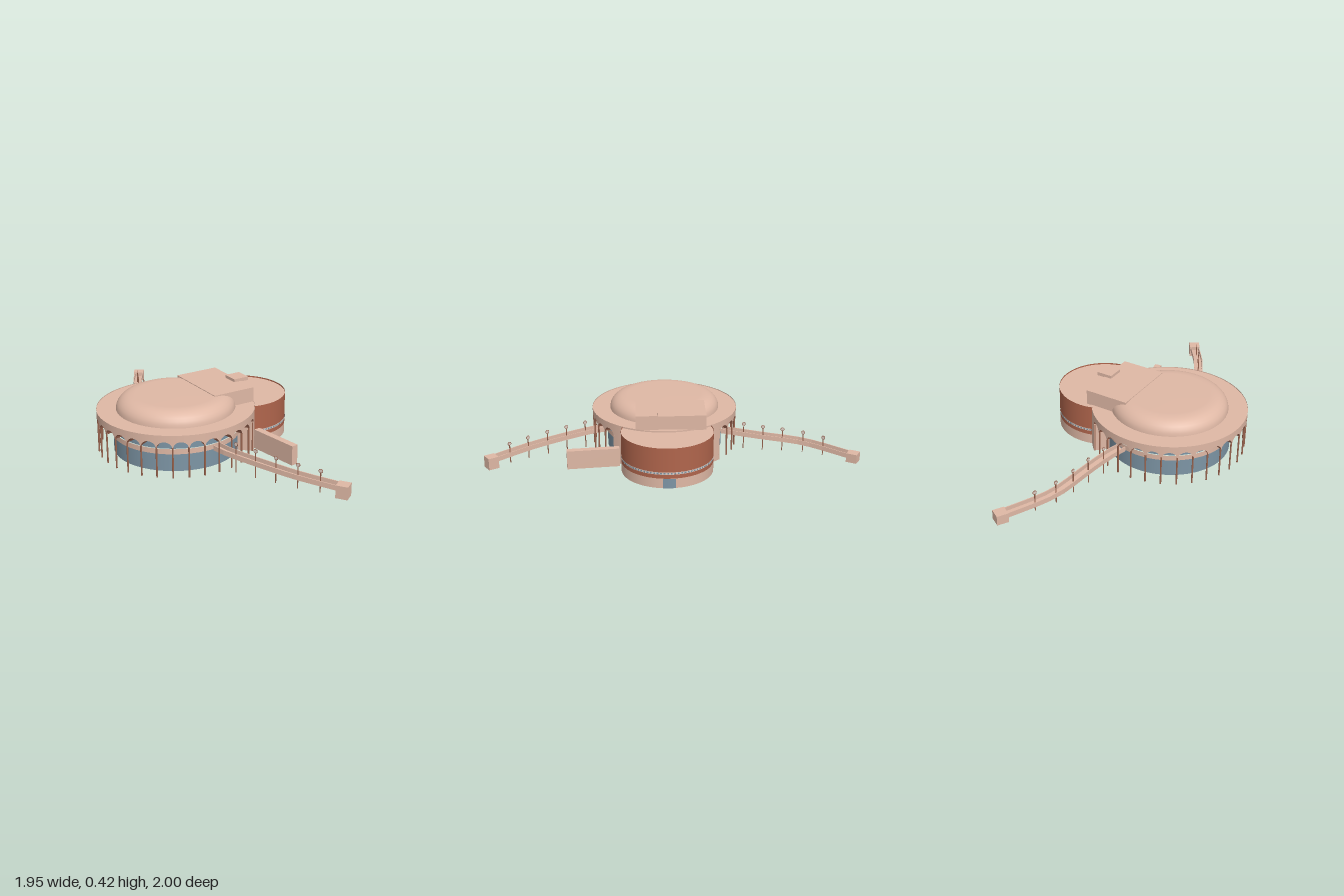
import * as THREE from 'three';

const D = Math.PI / 180;
const mat = (name, color) => {
  const m = new THREE.MeshStandardMaterial({ color, side: THREE.DoubleSide });
  m.name = name;
  return m;
};

export function createModel() {
  const root = new THREE.Group();
  root.name = 'roundAuditorium';
  const plaster = mat('plaster', 0xdfb8a5);
  const brick = mat('brick', 0xb0654c);
  const glass = mat('glass', 0x7d95a5);
  const soffit = mat('soffit', 0xa86c56);
  const post = mat('post', 0x9c6650);
  const pale = mat('paleTrim', 0xdccac1);

  const add = (parent, name, geo, material, x = 0, y = 0, z = 0, ry = 0) => {
    const m = new THREE.Mesh(geo, material);
    m.name = name;
    m.position.set(x, y, z);
    m.rotation.y = ry;
    parent.add(m);
    return m;
  };
  // Curved wall from angle a0 to a1 (degrees, 0 = +x, 90 = +z)
  const wall = (parent, name, r, y0, y1, a0, a1, material, seg = 64) =>
    add(parent, name, new THREE.CylinderGeometry(r, r, y1 - y0, seg, 1, true, (90 - a1) * D, (a1 - a0) * D),
      material, 0, (y0 + y1) / 2, 0);
  const group = (name, x, z) => {
    const g = new THREE.Group();
    g.name = name;
    g.position.set(x, 0, z);
    root.add(g);
    return g;
  };
  // Surface through rows of points
  const loft = (rows) => {
    const pos = [], idx = [], n = rows[0].length;
    rows.forEach((r) => r.forEach((p) => pos.push(...p)));
    for (let i = 0; i < rows.length - 1; i++)
      for (let j = 0; j < n - 1; j++) {
        const a = i * n + j;
        idx.push(a, a + 1, a + n, a + 1, a + n + 1, a + n);
      }
    let g = new THREE.BufferGeometry();
    g.setAttribute('position', new THREE.Float32BufferAttribute(pos, 3));
    g.setIndex(idx);
    g = g.toNonIndexed();
    g.computeVertexNormals();
    return g;
  };

  // Main hall
  const R = 0.55, RG = 0.438;
  const hall = group('mainHall', -0.29, 0.355);
  wall(hall, 'lowerGlass', RG, 0, 0.125, -7, 277, glass);
  wall(hall, 'upperGlass', RG, 0.162, 0.294, -7, 277, glass);
  wall(hall, 'balconyBand', RG + 0.008, 0.125, 0.162, -7, 277, plaster);
  add(hall, 'roofRing', new THREE.RingGeometry(0.41, R, 96).rotateX(-Math.PI / 2), plaster, 0, 0.295, 0);
  const profile = [];
  for (let i = 0; i <= 7; i++) {
    const t = (i / 7) * Math.PI / 2;
    profile.push(new THREE.Vector2(0.3 + 0.115 * Math.cos(t), 0.295 + 0.098 * Math.sin(t)));
  }
  profile.push(new THREE.Vector2(0.28, 0.395), new THREE.Vector2(0, 0.396));
  add(hall, 'dome', new THREE.LatheGeometry(profile, 48), plaster);

  // Arcade: scalloped fascia with scoops sloping down to the glass
  const ARCHES = 24, STEP = 270 / ARCHES, SUB = 10;
  const fascia = [], scoop = [];
  for (let i = 0; i <= ARCHES * SUB; i++) {
    const a = (i / SUB) * STEP * D, c = Math.cos(a), s = Math.sin(a);
    const u = Math.min(1, Math.abs(((i % SUB) / SUB - 0.5) * 2.15));
    const y = 0.213 + 0.042 * Math.sqrt(1 - u * u);
    fascia.push([[R * c, 0.301, R * s], [R * c, y, R * s]]);
    scoop.push([[R * c, y, R * s], [RG * c, 0.214, RG * s]]);
  }
  add(hall, 'arcadeFascia', loft(fascia), plaster);
  add(hall, 'arcadeScoops', loft(scoop), soffit);
  const column = new THREE.CylinderGeometry(0.006, 0.006, 0.214, 8);
  for (let i = 0; i <= ARCHES; i++) {
    const a = i * STEP * D;
    add(hall, 'column', column, post, 0.543 * Math.cos(a), 0.107, 0.543 * Math.sin(a));
  }
  // Solid wall closing the circle behind the arcade, with returns to the glass
  wall(hall, 'rearWall', R, 0, 0.301, 270, 360, plaster, 32);
  [0, 270].forEach((deg) => {
    const a = deg * D, r = (R + RG) / 2;
    add(hall, 'endReturn', new THREE.BoxGeometry(R - RG, 0.29, 0.008), plaster,
      r * Math.cos(a), 0.145, r * Math.sin(a), -a);
  });

  // Rear drum
  const RD = 0.334, A = -44.6, rear = group('rearDrum', 0.09, -0.02);
  wall(rear, 'drumBase', RD, 0, 0.073, A - 106, A + 106, plaster);
  wall(rear, 'drumBrick', RD, 0.073, 0.3, A - 106, A + 106, brick);
  wall(rear, 'drumStripe', RD + 0.0015, 0.103, 0.121, A - 105, A + 105, pale);
  for (let i = 0; i < 50; i++) {
    const a = A - 104.5 + i * 4.2;
    wall(rear, 'stripeTile', RD + 0.003, 0.106, 0.118, a, a + 2.1, glass, 1);
  }
  wall(rear, 'rearDoor', RD + 0.002, 0, 0.071, A - 7.5, A + 7.5, glass, 8);
  add(rear, 'drumRoof', new THREE.CircleGeometry(RD, 72).rotateX(-Math.PI / 2), plaster, 0, 0.29, 0);

  // Roof blocks
  const turn = -46.5 * D;
  add(root, 'stageTower', new THREE.BoxGeometry(0.51, 0.109, 0.322), plaster, -0.066, 0.3455, 0.09, turn);
  add(root, 'roofHatch', new THREE.BoxGeometry(0.118, 0.026, 0.118), plaster, 0.078, 0.408, 0.003, turn);

  // Free-standing garden wall
  add(root, 'gardenWall', new THREE.BoxGeometry(0.385, 0.14, 0.049), plaster, 0.421, 0.07, 0.41, -39.5 * D);

  // Bridges: trough-shaped ramps with lamp posts and an end block
  const W = 0.034, H = 0.035, T = 0.006;
  const section = [[-W, 0], [W, 0], [W, H], [W - T, H], [W - T, T], [T - W, T], [T - W, H], [-W, H], [-W, 0]];
  const ring = new THREE.TorusGeometry(0.0125, 0.0025, 6, 16);
  const disc = new THREE.CylinderGeometry(0.0115, 0.0115, 0.004, 16).rotateX(Math.PI / 2);
  const bridge = (name, pts, lamps, end, endH) => {
    const g = group(name, 0, 0);
    const curve = new THREE.CatmullRomCurve3(pts.map((p) => new THREE.Vector3(...p)));
    const rows = [];
    for (let i = 0; i <= 10; i++) {
      const p = curve.getPointAt(i / 10), t = curve.getTangentAt(i / 10);
      const l = Math.hypot(t.x, t.z);
      rows.push(section.map(([o, h]) => [p.x - o * t.z / l, p.y + h, p.z + o * t.x / l]));
    }
    add(g, 'ramp', loft(rows), plaster);
    lamps.forEach((u) => {
      const p = curve.getPointAt(u), t = curve.getTangentAt(u), h = p.y + 0.08;
      const ry = Math.atan2(-t.z, t.x);
      add(g, 'lampPost', new THREE.CylinderGeometry(0.004, 0.004, h, 6), post, p.x, h / 2, p.z);
      add(g, 'lampRing', ring, post, p.x, h + 0.01, p.z, ry);
      add(g, 'lampGlobe', disc, pale, p.x, h + 0.01, p.z, ry);
    });
    const t = curve.getTangentAt(1);
    add(g, 'endBlock', new THREE.BoxGeometry(0.08, endH, 0.08), plaster, end[0], endH / 2, end[1],
      Math.atan2(-t.z, t.x));
  };
  bridge('frontBridge',
    [[0.06, 0.12, 0.64], [0.135, 0.115, 0.69], [0.35, 0.098, 0.785], [0.61, 0.075, 0.88], [0.89, 0.05, 0.945]],
    [0.186, 0.356, 0.527, 0.702, 0.872], [0.927, 0.953], 0.088);
  bridge('backBridge',
    [[-0.5, 0.12, -0.045], [-0.56, 0.112, -0.16], [-0.66, 0.095, -0.32], [-0.81, 0.07, -0.54],
      [-0.86, 0.056, -0.66], [-0.92, 0.03, -0.915]],
    [0.175, 0.325, 0.476, 0.636, 0.796], [-0.93, -0.953], 0.068);

  return root;
}
